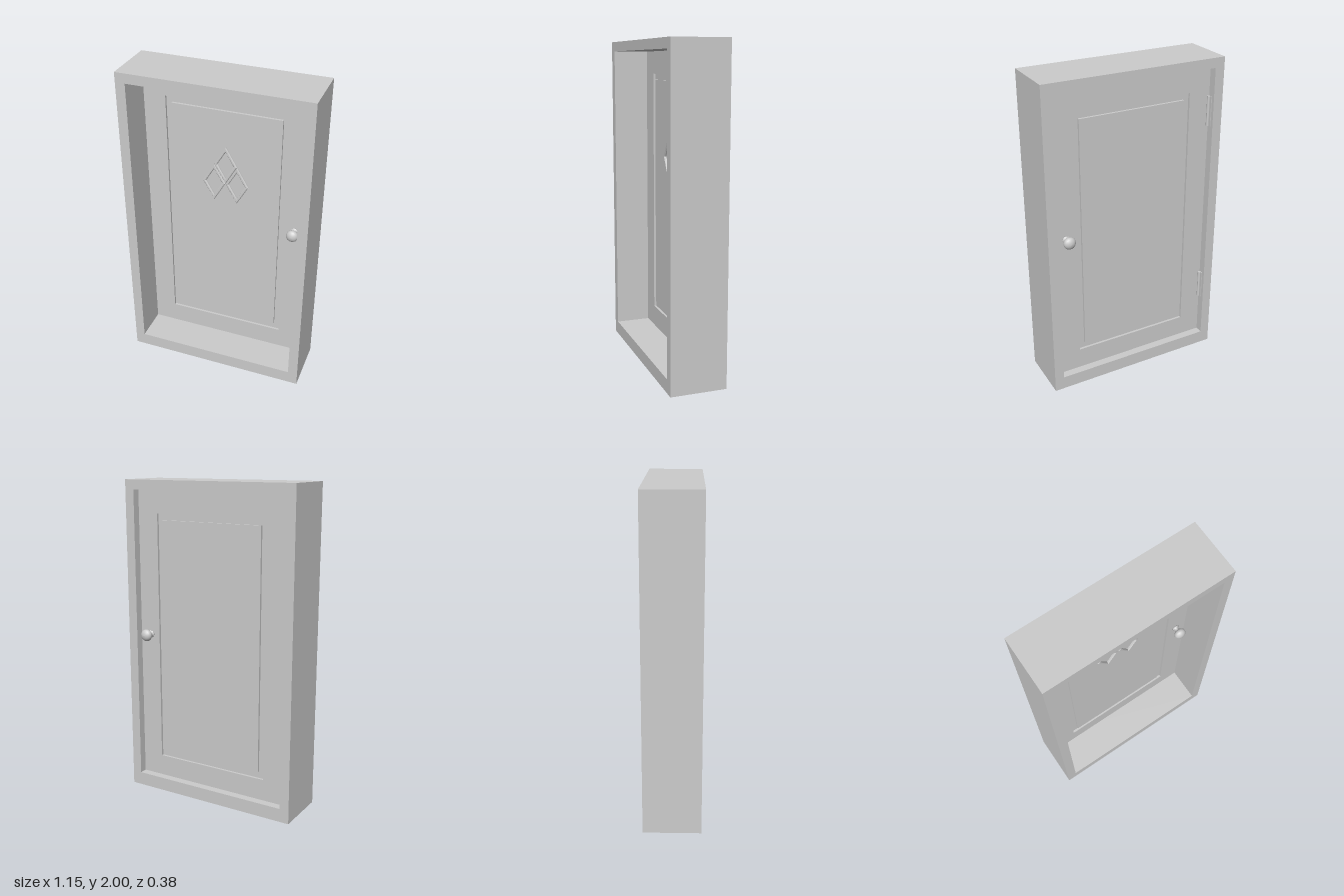
import * as THREE from 'three';

const grey = new THREE.MeshStandardMaterial({ color: 0xcccccc });

function add(parent, name, geometry, x = 0, y = 0, z = 0) {
  const mesh = new THREE.Mesh(geometry, grey);
  mesh.name = name;
  mesh.position.set(x, y, z);
  parent.add(mesh);
  return mesh;
}

const rect = (x, y0, y1) => [[-x, y0], [x, y0], [x, y1], [-x, y1]];
const diamond = (w, h) => [[0, -h], [w, 0], [0, h], [-w, 0]];

// Extruded outline with one opening
function ring(outer, inner, depth, bevel = 0) {
  const toPoints = (list) => list.map(([x, y]) => new THREE.Vector2(x, y));
  const shape = new THREE.Shape(toPoints(outer));
  shape.holes.push(new THREE.Path(toPoints(inner)));
  return new THREE.ExtrudeGeometry(shape, {
    depth, bevelEnabled: bevel > 0, bevelSize: bevel, bevelThickness: bevel,
    bevelOffset: -bevel, bevelSegments: 1,
  });
}

export function createModel() {
  const model = new THREE.Group();
  model.name = 'framedDoor';

  const doorBack = -0.11, doorFront = -0.035;
  const thick = doorFront - doorBack, mid = (doorFront + doorBack) / 2;
  const openX = 0.516, openY0 = 0.085, openY1 = 1.94;

  // Deep surround
  add(model, 'doorFrame',
    ring(rect(0.577, 0, 2), rect(openX, openY0, openY1), 0.347), 0, 0, -0.16);

  // Door leaf: border, sunken groove and raised centre panel
  const door = new THREE.Group();
  door.name = 'door';
  model.add(door);
  add(door, 'doorBorder',
    ring(rect(openX, openY0, openY1), rect(0.378, 0.22, 1.797), thick), 0, 0, doorBack);
  add(door, 'grooveFloor', new THREE.BoxGeometry(0.77, 1.59, thick - 0.03), 0, 1.008, mid);
  add(door, 'centrePanel', new THREE.BoxGeometry(0.68, 1.497, thick), 0, 1.0105, mid);

  // Three raised diamond mouldings on the front
  for (const [x, y] of [[0, 1.41], [-0.073, 1.285], [0.073, 1.285]]) {
    add(door, 'diamondMoulding',
      ring(diamond(0.073, 0.125), diamond(0.052, 0.089), 0.012, 0.006), x, y, doorFront - 0.004);
  }

  // Knob profile: rose, neck and flattened ball
  const profile = [[0, 0], [0.024, 0], [0.024, 0.005], [0.015, 0.009], [0.015, 0.026]]
    .map(([r, h]) => new THREE.Vector2(r, h));
  for (let i = 1; i <= 8; i++) {
    const a = -1.1 + (i / 8) * (Math.PI / 2 + 1.1);
    profile.push(new THREE.Vector2(Math.max(0, 0.038 * Math.cos(a)), 0.05 + 0.028 * Math.sin(a)));
  }
  const knobGeometry = new THREE.LatheGeometry(profile, 20);
  for (const side of [1, -1]) {
    const knob = add(door, side > 0 ? 'frontKnob' : 'backKnob', knobGeometry,
      0.443, 1.037, side > 0 ? doorFront : doorBack);
    knob.rotation.x = side * Math.PI / 2;
  }

  // Hinges on the back, along the right jamb
  for (const y of [0.455, 1.67]) {
    const hinge = new THREE.Group();
    hinge.name = 'hinge';
    hinge.position.set(-openX, y, doorBack);
    model.add(hinge);
    add(hinge, 'hingePin', new THREE.CylinderGeometry(0.01, 0.01, 0.185, 12), 0.008, 0, -0.008);
    add(hinge, 'hingeLeaf', new THREE.BoxGeometry(0.006, 0.185, 0.03), 0.002, 0, -0.015);
  }

  return model;
}
